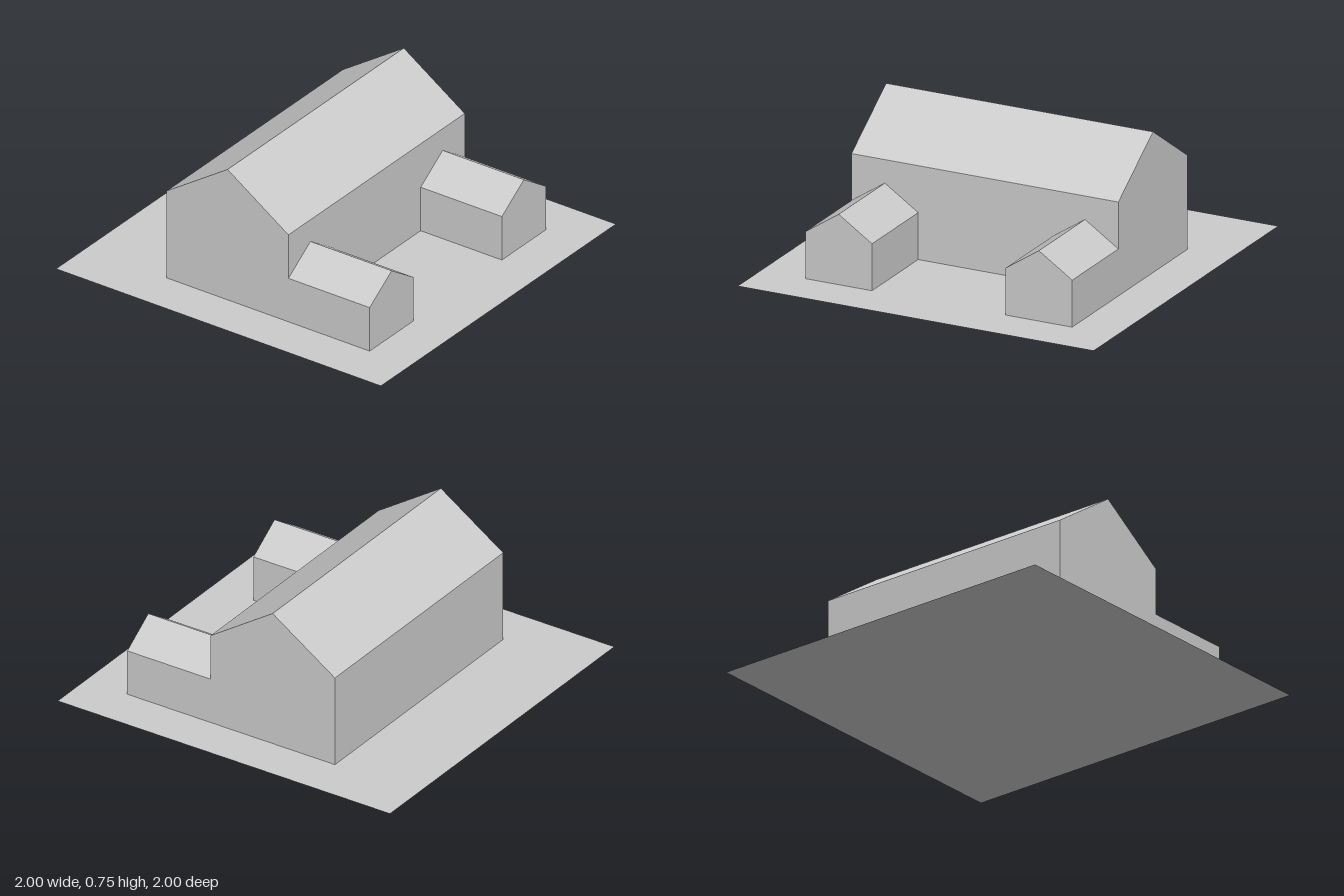
import * as THREE from 'three';

const material = new THREE.MeshStandardMaterial({ color: 0xcccccc, flatShading: true });
const groundMaterial = new THREE.MeshStandardMaterial({ color: 0xcccccc, side: THREE.DoubleSide });

// Gabled block: pentagon end wall extruded along z, centred on x and z
function gabledBlock(name, width, eaves, ridge, length) {
  const w = width / 2;
  const gable = new THREE.Shape([
    new THREE.Vector2(-w, 0),
    new THREE.Vector2(w, 0),
    new THREE.Vector2(w, eaves),
    new THREE.Vector2(0, ridge),
    new THREE.Vector2(-w, eaves),
  ]);
  const geometry = new THREE.ExtrudeGeometry(gable, { depth: length, bevelEnabled: false });
  geometry.translate(0, 0, -length / 2);
  const mesh = new THREE.Mesh(geometry, material);
  mesh.name = name;
  return mesh;
}

export function createModel() {
  const model = new THREE.Group();
  model.name = 'farmstead';

  // Flat square plot
  const ground = new THREE.Mesh(new THREE.PlaneGeometry(2, 2), groundMaterial);
  ground.name = 'ground';
  ground.rotation.x = -Math.PI / 2;
  model.add(ground);

  // Main building with its ridge along x
  const mainHouse = gabledBlock('mainHouse', 0.75, 0.5, 0.75, 1.5);
  mainHouse.rotation.y = Math.PI / 2;
  mainHouse.position.z = -0.125;
  model.add(mainHouse);

  // Two low wings reaching forward from its ends
  for (const [side, name] of [[1, 'leftWing'], [-1, 'rightWing']]) {
    const wing = gabledBlock(name, 0.375, 0.25, 0.375, 0.5);
    wing.position.set(side * 0.5625, 0, 0.5);
    model.add(wing);
  }

  return model;
}
